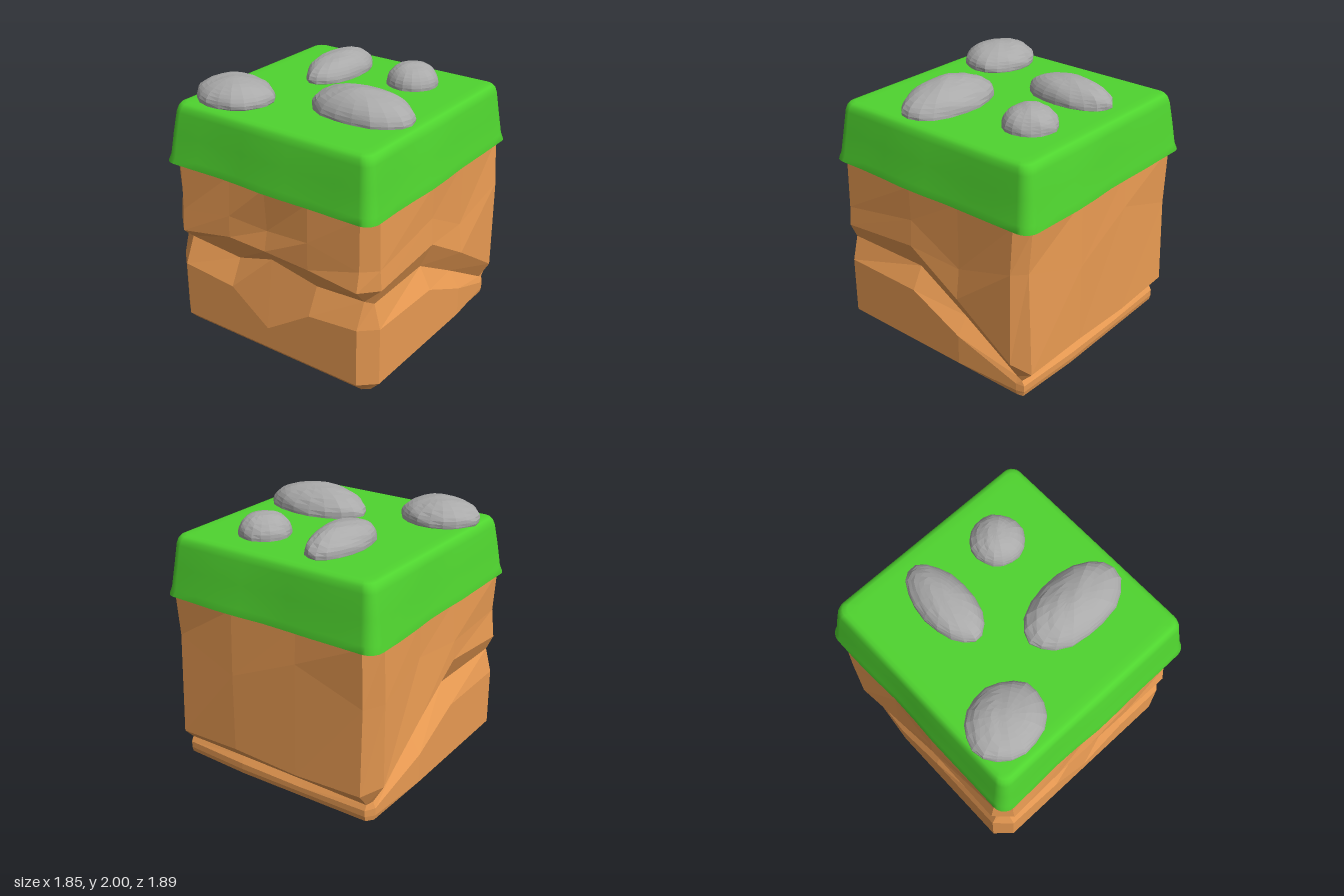
import * as THREE from 'three';

// Skin a stack of closed rings (bottom to top, counterclockwise from above), capped at both ends
function loft(rings) {
  const n = rings[0].length, pos = [], idx = [];
  rings.forEach(r => r.forEach(p => pos.push(...p)));
  for (let k = 0; k < rings.length - 1; k++) {
    for (let i = 0; i < n; i++) {
      const j = (i + 1) % n, a = k * n + i, b = k * n + j;
      idx.push(a, b, b + n, a, b + n, a + n);
    }
  }
  const last = (rings.length - 1) * n, bottom = pos.length / 3, top = bottom + 1;
  pos.push(0, rings[0][0][1], 0, 0, rings[rings.length - 1][0][1], 0);
  for (let i = 0; i < n; i++) {
    const j = (i + 1) % n;
    idx.push(bottom, j, i, top, last + i, last + j);
  }
  const g = new THREE.BufferGeometry();
  g.setAttribute('position', new THREE.Float32BufferAttribute(pos, 3));
  g.setIndex(idx);
  g.computeVertexNormals();
  return g;
}

// Earth block: each column is x, z, lower lip, groove and upper lip heights, groove depth
function earthGeometry() {
  const front = [
    [-0.79, 0.91, 0.52, 0.72, 0.81, 0.09],
    [-0.33, 0.91, 0.48, 0.68, 0.90, 0.10],
    [0.00, 0.91, 0.24, 0.79, 0.89, 0.07],
    [0.38, 0.91, 0.49, 0.69, 0.87, 0.10],
    [0.79, 0.91, 0.53, 0.72, 0.83, 0.09],
  ];
  const side = [
    [0.91, 0.80, 0.53, 0.72, 0.84, 0.05],
    [0.91, 0.15, 0.52, 0.69, 0.90, 0.09],
    [0.91, -0.29, 0.31, 0.44, 0.63, 0.09],
    [0.91, -0.78, 0.10, 0.15, 0.30, 0.08],
  ];
  const back = [
    [0.83, -0.90, 0.09, 0.13, 0.22, 0.08],
    [0.30, -0.92, 0.09, 0.14, 0.25, 0.09],
    [-0.25, -0.91, 0.08, 0.13, 0.22, 0.09],
    [-0.80, -0.90, 0.09, 0.13, 0.24, 0.08],
  ];
  const left = side.map(([x, ...rest]) => [-x, ...rest]).reverse();
  const columns = [...front, ...side, ...back, ...left];
  const inset = (v, d) => Math.abs(v) > 0.84 ? v - Math.sign(v) * d : v;
  const ring = f => columns.map((c, i) => {
    const [y, d] = f(c, i);
    return [inset(c[0], d), y, inset(c[1], d)];
  });
  const footing = c => c[1] < -0.7 ? 0.06 : 0;
  const geometry = loft([
    ring(() => [0, 0.07]),
    ring(c => [c[1] < -0.7 ? 0.04 : 0.075, footing(c)]),
    ring(c => [c[2], footing(c)]),
    ring(c => [c[3], c[5]]),
    ring(c => [c[4], -0.005]),
    ring((c, i) => [Math.max(c[4] + 0.15, 0.98 + 0.13 * Math.sin(i * 2.4)), 0.012 + 0.018 * Math.sin(i * 3.7)]),
    ring((c, i) => [1.37, 0.015 + 0.015 * Math.sin(i * 1.9)]),
  ]);
  return geometry;
}

// Grass slab: rounded square rings that flare towards a slightly wavy hem
function grassGeometry() {
  const ring = ([half, y, r, wave]) => {
    const pts = [], arc = 5, straight = 8, c = half - r;
    for (let s = 0; s < 4; s++) {
      const put = (u, v) => {
        const a = s * Math.PI / 2, x = u * Math.cos(a) + v * Math.sin(a), z = v * Math.cos(a) - u * Math.sin(a);
        const t = Math.atan2(z, x), k = 1 + wave * (Math.sin(5 * t + 1) + 0.6 * Math.sin(9 * t));
        pts.push([x * k * 0.985, y, z * k * 1.005]);
      };
      for (let i = 0; i < straight; i++) put(-c + 2 * c * i / straight, half);
      for (let i = 0; i < arc; i++) {
        const a = Math.PI / 2 * i / arc;
        put(c + r * Math.sin(a), c + r * Math.cos(a));
      }
    }
    return pts;
  };
  return loft([
    [0.84, 1.365, 0.08, 0],
    [0.92, 1.352, 0.09, 0.007],
    [0.932, 1.358, 0.10, 0.007],
    [0.917, 1.41, 0.10, 0.006],
    [0.893, 1.58, 0.09, 0.006],
    [0.869, 1.74, 0.08, 0.002],
    [0.857, 1.782, 0.08, 0],
    [0.838, 1.803, 0.07, 0],
    [0.81, 1.812, 0.06, 0],
    [0.75, 1.812, 0.06, 0],
  ].map(ring));
}

// Stone: faceted ellipsoid, cut off below the grass surface
function stoneGeometry(rx, ry, rz, seed) {
  const g = new THREE.SphereGeometry(1, 18, 12, 0, Math.PI * 2, 0, Math.PI * 0.64);
  const p = g.attributes.position, v = new THREE.Vector3();
  for (let i = 0; i < p.count; i++) {
    v.fromBufferAttribute(p, i);
    const k = 0.985 + 0.025 * Math.sin(5 * v.x + seed) * Math.sin(4 * v.z + 2 * seed) + 0.012 * Math.sin(11 * v.x + 9 * v.z + 7 * v.y);
    p.setXYZ(i, v.x * k * rx, v.y * k * ry, v.z * k * rz);
  }
  g.computeVertexNormals();
  return g;
}

export function createModel() {
  const model = new THREE.Group();
  const add = (name, geometry, color, flatShading) => {
    const mesh = new THREE.Mesh(geometry, new THREE.MeshStandardMaterial({ color, flatShading }));
    mesh.name = name;
    model.add(mesh);
    return mesh;
  };
  add('earthBlock', earthGeometry(), 0xe89a52, true);
  add('grassSlab', grassGeometry(), 0x4fd42f, false);

  // Stones: x, z, half width, half height, half depth, centre height
  [
    [-0.535, 0.545, 0.30, 0.145, 0.26, 1.835],
    [-0.265, -0.36, 0.19, 0.15, 0.36, 1.83],
    [0.325, -0.465, 0.20, 0.15, 0.20, 1.825],
    [0.37, 0.255, 0.415, 0.18, 0.245, 1.82],
  ].forEach(([x, z, rx, ry, rz, y], i) => {
    add('stone' + (i + 1), stoneGeometry(rx, ry, rz, i * 1.7), 0xaaaaaa, true).position.set(x, y, z);
  });
  return model;
}
